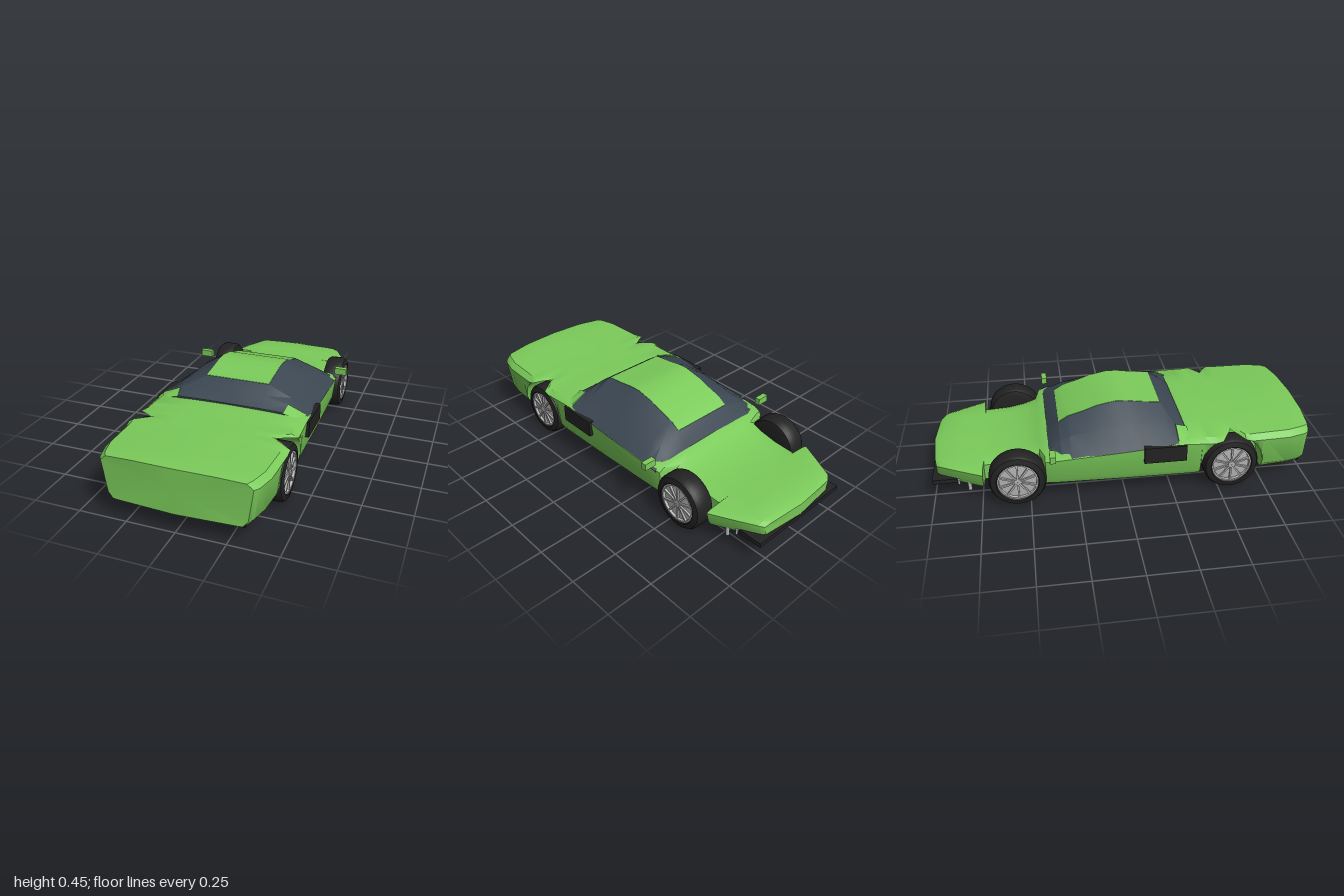
import * as THREE from 'three';
import { toCreasedNormals } from 'three/addons/utils/BufferGeometryUtils.js';
import { ConvexGeometry } from 'three/addons/geometries/ConvexGeometry.js';

const material = (name, color) => new THREE.MeshStandardMaterial({ name, color });

// Skin symmetric sections; each is a half outline from bottom centre to top centre
function loft(halves, crease) {
  const rings = halves.map(h => [...h, ...h.slice(1, -1).reverse().map(([x, y, z]) => [-x, y, z])]);
  const n = rings[0].length, last = rings.length - 1, pos = rings.flat(2), idx = [];
  for (let i = 0; i < last; i++) for (let j = 0; j < n; j++) {
    const k = (j + 1) % n, a = i * n + j, b = i * n + k;
    idx.push(a, b, b + n, a, b + n, a + n);
  }
  for (const i of [0, last]) {
    const h = halves[i], p = h[0], q = h[h.length - 1], c = pos.length / 3;
    pos.push(0, (p[1] + q[1]) / 2, (p[2] + q[2]) / 2);
    for (let j = 0; j < n; j++) {
      const a = i * n + j, b = i * n + (j + 1) % n;
      if (i) idx.push(c, a, b); else idx.push(c, b, a);
    }
  }
  const g = new THREE.BufferGeometry();
  g.setAttribute('position', new THREE.Float32BufferAttribute(pos, 3));
  g.setIndex(idx);
  return toCreasedNormals(g, crease);
}

// Linear interpolation through rows of [z, a, b, ...]
function sample(rows, z) {
  let i = 0;
  while (i < rows.length - 2 && rows[i + 1][0] < z) i++;
  const [p, q] = [rows[i], rows[i + 1]], t = (z - p[0]) / (q[0] - p[0]);
  return p.map((v, k) => v + (q[k] - v) * t);
}

// z, half width, shoulder height, top height, inset of the sill
const BODY = [
  [-0.975, 0.245, 0.175, 0.19, 0.02], [-0.955, 0.27, 0.187, 0.203, 0.03],
  [-0.85, 0.325, 0.187, 0.203, 0.03], [-0.735, 0.382, 0.187, 0.203, 0.03],
  [-0.73, 0.285, 0.187, 0.203, 0], [-0.6, 0.285, 0.195, 0.212, 0],
  [-0.5, 0.285, 0.215, 0.232, 0], [-0.44, 0.29, 0.235, 0.253, 0],
  [-0.415, 0.385, 0.24, 0.268, 0.02], [-0.36, 0.4, 0.252, 0.28, 0.03],
  [0, 0.41, 0.28, 0.3, 0.03], [0.27, 0.413, 0.303, 0.325, 0.03],
  [0.34, 0.414, 0.3, 0.333, 0.03], [0.5, 0.421, 0.295, 0.332, 0.04],
  [0.56, 0.33, 0.295, 0.333, 0.02], [0.62, 0.421, 0.295, 0.334, 0.04],
  [0.86, 0.412, 0.295, 0.34, 0.055], [0.95, 0.388, 0.295, 0.342, 0.05],
  [0.975, 0.37, 0.295, 0.338, 0.05]
];
const ARCH_Z = 0.56, ARCH_R = 0.168;

function bodyGeometry() {
  const zs = BODY.map(r => r[0]);
  for (const d of [0.1681, 0.1675, 0.15, 0.125, 0.095, 0.03]) zs.push(ARCH_Z - d, ARCH_Z + d);
  zs.sort((a, b) => a - b);
  return loft(zs.map(z => {
    let [, w, sh, top, inset] = sample(BODY, z);
    const d = Math.abs(z - ARCH_Z);
    const arch = d < ARCH_R ? 0.15 + Math.sqrt(ARCH_R ** 2 - d * d) : 0.1;
    sh = Math.min(Math.max(sh, arch), top - 0.013);
    const ya = Math.min(arch, sh), inner = Math.min(0.29, w - inset);
    const mid = Math.min(sh, Math.max(ya + 0.003, 0.13));
    const inArch = d < ARCH_R;
    const pts = [[0, 0.1], [inner, 0.1], [inner, ya], [w - (inArch ? inset * 0.3 : inset), ya],
      [w - inset * (inArch ? 0.25 : 0.5), mid], [w, sh],
      [w - 0.03, sh + (top - sh) * 0.65], [Math.min(0.2, w - 0.05), top - 0.003], [0, top]];
    // Bowed nose and tail
    const bow = Math.abs(z) > 0.97 ? 0.025 * Math.sign(z) : 0;
    return pts.map(([x, y]) => [x, y, z + bow * (1 - (x / w) ** 2)]);
  }), 0.6);
}

// z, roof height, window break height, half width at belt, belt height
const CABIN = [
  [-0.395, 0.268, 0.264, 0.398, 0.245], [-0.375, 0.293, 0.282, 0.4, 0.25],
  [-0.33, 0.348, 0.312, 0.401, 0.254], [-0.28, 0.38, 0.332, 0.402, 0.258],
  [-0.19, 0.407, 0.348, 0.404, 0.265], [-0.13, 0.43, 0.36, 0.406, 0.27],
  [-0.03, 0.45, 0.37, 0.409, 0.278], [0.03, 0.448, 0.37, 0.41, 0.283],
  [0.1, 0.437, 0.37, 0.411, 0.289], [0.21, 0.425, 0.368, 0.411, 0.3],
  [0.27, 0.385, 0.357, 0.404, 0.308], [0.275, 0.381, 0.354, 0.302, 0.31],
  [0.325, 0.338, 0.334, 0.3, 0.31]
];

export function createModel() {
  const car = new THREE.Group();
  car.name = 'car';
  const green = material('green paint', 0x7bcb5a);
  const glass = material('tinted glass', 0x3c4752);
  const black = material('black rubber', 0x222222);
  const silver = material('silver metal', 0xb4b4b6);
  const add = (name, geo, mat, x = 0, y = 0, z = 0, parent = car) => {
    const m = new THREE.Mesh(geo, mat);
    m.name = name;
    m.position.set(x, y, z);
    parent.add(m);
    return m;
  };
  const box = (w, h, d) => new THREE.BoxGeometry(w, h, d);

  add('body', bodyGeometry(), green);
  add('cabinGlass', loft(CABIN.map(([z, yr, ym, xb, yb]) =>
    [[0, yb - 0.03, z], [xb - 0.02, yb - 0.03, z], [xb, yb, z], [0.298, ym, z], [0.175, yr, z], [0, yr, z]]), 0.4), glass);
  add('roofPanel', loft(CABIN.filter(r => r[0] > -0.34 && r[0] < 0.22).map(([z, yr]) =>
    [[0, yr - 0.004, z], [0.175, yr - 0.004, z], [0.175, yr + 0.002, z], [0, yr + 0.002, z]]), 0.5), green);

  // Flat black trims under both ends
  const trim = new THREE.Shape([[-0.29, 0.79], [0.29, 0.79], [0.33, 0.965], [-0.33, 0.965]]
    .map(([x, z]) => new THREE.Vector2(x, z)));
  const trimGeo = new THREE.ExtrudeGeometry(trim, { depth: 0.016, bevelEnabled: false });
  trimGeo.rotateX(Math.PI / 2);
  add('frontUnderTrim', trimGeo, black, 0, 0.102, 0);
  add('rearBumper', box(0.6, 0.024, 0.13), black, 0, 0.113, -0.935);

  // Tyre and rim profiles, turned about the axle
  const lathe = pts => {
    const g = new THREE.LatheGeometry(pts.map(([r, y]) => new THREE.Vector2(r, y)), 36);
    g.rotateZ(-Math.PI / 2);
    return toCreasedNormals(g, 0.7);
  };
  const tyre = lathe([[0.001, -0.055], [0.11, -0.057], [0.138, -0.05], [0.147, -0.035],
    [0.148, 0], [0.147, 0.035], [0.138, 0.05], [0.11, 0.057], [0.104, 0.052], [0.104, 0.036], [0.001, 0.036]]);
  const rim = lathe([[0.105, 0.038], [0.105, 0.053], [0.097, 0.053], [0.095, 0.04], [0.03, 0.044], [0.001, 0.044]]);
  const hub = lathe([[0.02, 0.04], [0.018, 0.054], [0.001, 0.056]]);

  for (const s of [1, -1]) {
    const side = s > 0 ? 'left' : 'right';
    for (const [end, z] of [['Front', ARCH_Z], ['Rear', -ARCH_Z]]) {
      const wheel = new THREE.Group();
      wheel.name = side + end + 'Wheel';
      wheel.position.set(s * 0.353, 0.148, z);
      if (s < 0) wheel.rotation.y = Math.PI;
      car.add(wheel);
      add('tyre', tyre, black, 0, 0, 0, wheel);
      add('rim', rim, silver, 0, 0, 0, wheel);
      add('hub', hub, silver, 0, 0, 0, wheel);
      for (let i = 0; i < 10; i++) {
        const spoke = box(0.012, 0.088, 0.009);
        spoke.translate(0.046, 0.055, 0);
        add('spoke', spoke, silver, 0, 0, 0, wheel).rotation.x = i * Math.PI / 5;
      }
    }
    add(side + 'Mirror', box(0.068, 0.037, 0.03), green, s * 0.424, 0.297, -0.378);
    add(side + 'SideVent', box(0.03, 0.09, 0.22), black, s * 0.41, 0.256, 0.2);
    // Windscreen corner pillar
    add(side + 'Pillar', new ConvexGeometry([[0.29, 0.336, 0.335], [0.302, 0.36, 0.272], [0.4, 0.318, 0.27],
      [0.39, 0.31, 0.33], [0.3, 0.3, 0.27]].map(([x, y, z]) => new THREE.Vector3(s * x, y, z))), green);
    // Small pipes below the tail
    add(side + 'Pipe', new THREE.CylinderGeometry(0.01, 0.01, 0.06, 14), silver, s * 0.31, 0.09, -0.81);
    add(side + 'SmallPipe', new THREE.CylinderGeometry(0.006, 0.006, 0.03, 12), silver, s * 0.308, 0.113, -0.863);
  }
  return car;
}
